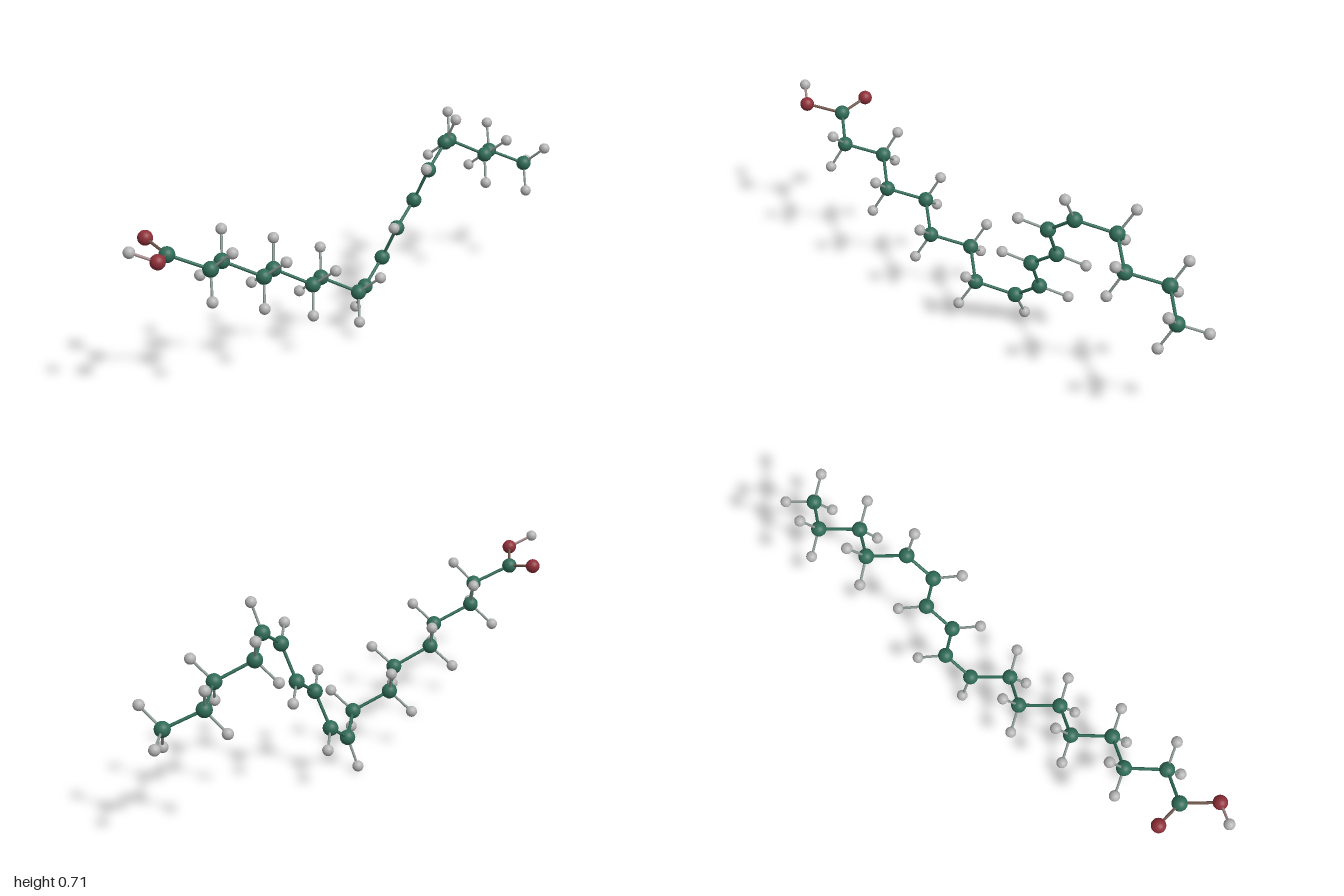
import * as THREE from 'three';

// backbone carbons, from the acid end to the methyl end
const CHAIN = [
  [-0.807, 0.502, -0.02], [-0.696, 0.443, 0.061], [-0.578, 0.414, -0.021],
  [-0.466, 0.348, 0.059], [-0.349, 0.318, -0.022], [-0.239, 0.25, 0.055],
  [-0.12, 0.217, -0.029], [-0.013, 0.152, 0.049], [0.104, 0.115, -0.033],
  [0.207, 0.192, -0.049], [0.222, 0.318, 0.009], [0.326, 0.393, -0.007],
  [0.339, 0.519, 0.051], [0.442, 0.594, 0.034], [0.558, 0.557, -0.048],
  [0.666, 0.493, 0.031], [0.788, 0.461, -0.052], [0.894, 0.403, 0.031],
].map((p) => new THREE.Vector3(...p));

const ATOMS = {
  carbon: { radius: 0.027, color: 0x2f6b57 },
  oxygen: { radius: 0.0255, color: 0x8f2f38 },
  hydrogen: { radius: 0.0195, color: 0xb4b4b4 },
};
const CH = 0.107; // carbon-hydrogen distance

export function createModel() {
  const model = new THREE.Group();
  const kinds = {};
  for (const [name, { radius, color }] of Object.entries(ATOMS)) {
    kinds[name] = {
      geometry: new THREE.SphereGeometry(radius, 32, 20),
      material: new THREE.MeshStandardMaterial({ color }),
    };
  }

  function atom(kind, position, name) {
    const mesh = new THREE.Mesh(kinds[kind].geometry, kinds[kind].material);
    mesh.position.copy(position);
    mesh.name = name;
    model.add(mesh);
  }

  // stick between two atoms, tinted halfway between their colours
  const stickMaterials = {};
  function bond(a, b, kindA, kindB, radius = 0.0045) {
    const key = kindA + kindB;
    stickMaterials[key] ??= new THREE.MeshStandardMaterial({
      color: kinds[kindA].material.color.clone().lerp(kinds[kindB].material.color, 0.5),
    });
    const along = b.clone().sub(a);
    const mesh = new THREE.Mesh(
      new THREE.CylinderGeometry(radius, radius, along.length(), 14, 1, true), stickMaterials[key]);
    mesh.position.copy(a).addScaledVector(along, 0.5);
    mesh.quaternion.setFromUnitVectors(new THREE.Vector3(0, 1, 0), along.normalize());
    mesh.name = 'bond';
    model.add(mesh);
  }

  function hydrogen(c, direction) {
    const p = c.clone().addScaledVector(direction, CH);
    atom('hydrogen', p, 'hydrogen');
    bond(c, p, 'carbon', 'hydrogen');
  }

  // hydrogens of a carbon lying between two neighbours: one in plane or a tetrahedral pair
  function addHydrogens(c, a, b, single) {
    const toA = a.clone().sub(c).normalize();
    const toB = b.clone().sub(c).normalize();
    const out = toA.clone().add(toB).normalize().negate();
    if (single) {
      hydrogen(c, out);
      return;
    }
    const side = toA.cross(toB).normalize();
    for (const s of [-1, 1]) {
      hydrogen(c, out.clone().multiplyScalar(0.577).addScaledVector(side, 0.816 * s));
    }
  }

  // carbon chain
  CHAIN.forEach((c, i) => {
    atom('carbon', c, 'carbon');
    if (i > 0) bond(CHAIN[i - 1], c, 'carbon', 'carbon', 0.0055);
    if (i > 0 && i < CHAIN.length - 1) {
      addHydrogens(c, CHAIN[i - 1], CHAIN[i + 1], i >= 8 && i <= 13);
    }
  });

  // methyl end: one hydrogen continues the zigzag, two flank it
  const [c16, c17, c18] = CHAIN.slice(-3);
  const zigzag = c17.clone().sub(c16).normalize();
  hydrogen(c18, zigzag);
  addHydrogens(c18, c17, c18.clone().add(zigzag), false);

  // acid end
  const acid = CHAIN[0];
  const carbonyl = new THREE.Vector3(-0.804, 0.528, -0.131);
  const hydroxyl = new THREE.Vector3(-0.91, 0.53, 0.062);
  const acidHydrogen = new THREE.Vector3(-0.981, 0.568, 0.012);
  atom('oxygen', carbonyl, 'carbonylOxygen');
  atom('oxygen', hydroxyl, 'hydroxylOxygen');
  atom('hydrogen', acidHydrogen, 'acidHydrogen');
  bond(acid, carbonyl, 'carbon', 'oxygen', 0.005);
  bond(acid, hydroxyl, 'carbon', 'oxygen', 0.005);
  bond(hydroxyl, acidHydrogen, 'oxygen', 'hydrogen');

  return model;
}
